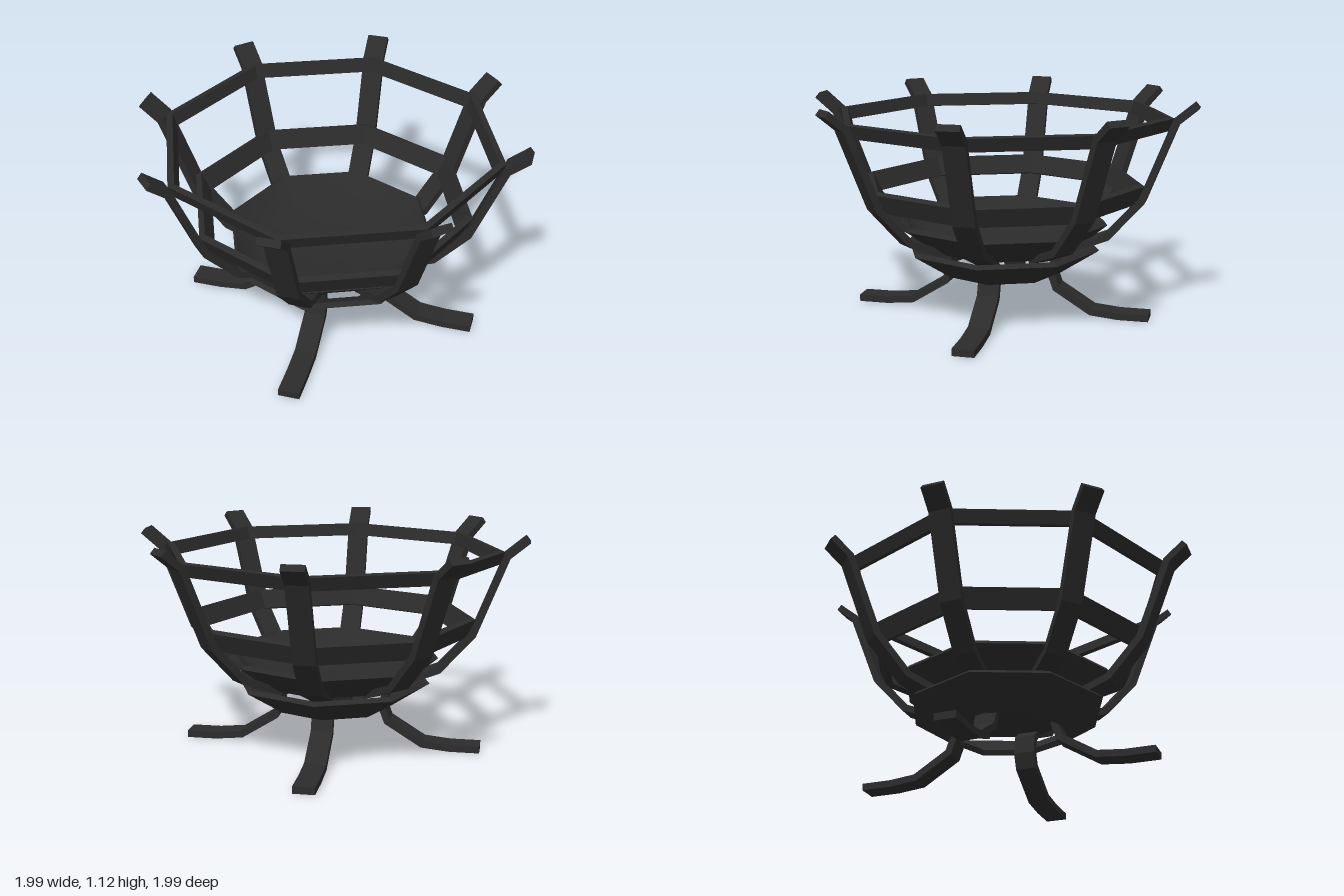
import * as THREE from 'three';

const iron = new THREE.MeshStandardMaterial({ color: 0x2b2b2b });
iron.name = 'blackIron';

const WIDTH = 0.11, THICK = 0.036;

function faceted(geometry) {
  const g = geometry.toNonIndexed();
  g.computeVertexNormals();
  return g;
}

// Flat bar bent along a path of [radius, height] points, with mitred bends
function bentBar(path) {
  const pts = path.map(([x, y]) => new THREE.Vector2(x, y));
  const normal = (a, b) => {
    const d = b.clone().sub(a).normalize();
    return new THREE.Vector2(-d.y, d.x);
  };
  const sideA = [], sideB = [];
  pts.forEach((p, i) => {
    const n0 = normal(pts[Math.max(i - 1, 0)], pts[Math.max(i, 1)]);
    const last = pts.length - 1;
    const n1 = normal(pts[Math.min(i, last - 1)], pts[Math.min(i + 1, last)]);
    const m = n0.clone().add(n1).normalize();
    m.multiplyScalar(THICK / 2 / m.dot(n0));
    sideA.push(p.clone().add(m));
    sideB.push(p.clone().sub(m));
  });
  const shape = new THREE.Shape([...sideA, ...sideB.reverse()]);
  const g = new THREE.ExtrudeGeometry(shape, { depth: WIDTH, bevelEnabled: false });
  g.translate(0, 0, -WIDTH / 2);
  return g;
}

// Eight-sided solid turned from a [radius, height] profile
function octagon(profile) {
  return new THREE.LatheGeometry(profile.map(([r, y]) => new THREE.Vector2(r, y)), 8);
}

export function createModel() {
  const model = new THREE.Group();
  model.name = 'fireBasket';
  const add = (name, geometry, angle = 0) => {
    const mesh = new THREE.Mesh(geometry, iron);
    mesh.name = name;
    mesh.rotation.y = angle;
    model.add(mesh);
  };

  // Ribs: every second one curls under and runs on as a leg
  const rib = [[0.983, 1.112], [0.885, 1.03], [0.725, 0.625], [0.555, 0.435], [0.34, 0.35]];
  const leg = [[0.285, 0.305], [0.272, 0.22], [0.297, 0.15], [0.48, 0.036], [0.62, 0.022], [0.775, 0.022]];
  const ribGeometry = bentBar(rib);
  const legGeometry = bentBar([...rib.slice(-1), ...leg]);
  for (let i = 0; i < 8; i++) {
    const angle = i * Math.PI / 4;
    add('rib', ribGeometry, angle);
    if (i % 2 === 0) add('leg', legGeometry, angle);
  }

  // Flared octagonal hoops: outer bottom, outer top, inner top, inner bottom
  const hoops = {
    topHoop: [[0.845, 0.98], [0.872, 1.045], [0.838, 1.05], [0.815, 0.985]],
    middleHoop: [[0.69, 0.6], [0.735, 0.695], [0.705, 0.708], [0.655, 0.612]],
    bottomHoop: [[0.31, 0.22], [0.51, 0.35], [0.49, 0.37], [0.295, 0.245]],
  };
  for (const [name, profile] of Object.entries(hoops)) {
    add(name, faceted(octagon([...profile, profile[0]])));
  }

  // Ash pan: faceted outside and rim, softly shaded inside
  add('panOutside', faceted(octagon([[0, 0.355], [0.39, 0.355], [0.55, 0.485], [0.535, 0.505], [0.525, 0.495]])));
  add('panInside', octagon([[0.525, 0.495], [0.4, 0.395], [0, 0.375]]));

  return model;
}
